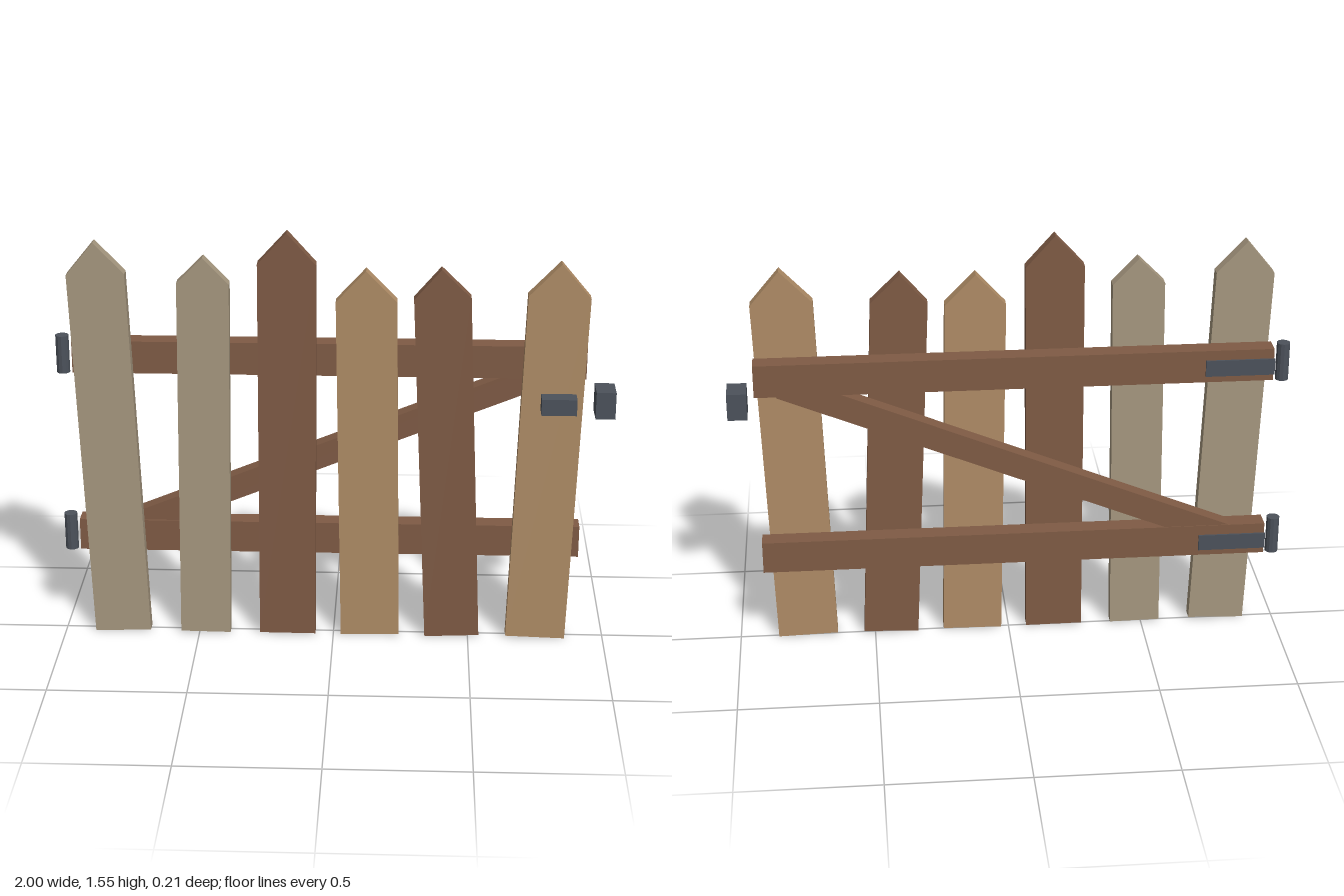
import * as THREE from 'three';

const material = (name, color) => {
  const m = new THREE.MeshStandardMaterial({ color, flatShading: true });
  m.name = name;
  return m;
};

export function createModel() {
  const gate = new THREE.Group();
  gate.name = 'gate';
  const grey = material('weathered wood', 0xa6977f);
  const brown = material('brown wood', 0x7f5b45);
  const tan = material('tan wood', 0xaf8c66);
  const iron = material('iron', 0x4c525b);

  const add = (name, geometry, mat, x, y, z, turn = 0) => {
    const mesh = new THREE.Mesh(geometry, mat);
    mesh.name = name;
    mesh.position.set(x, y, z);
    mesh.rotation.z = turn;
    gate.add(mesh);
    return mesh;
  };
  const box = (name, mat, w, h, d, x, y, z, turn) =>
    add(name, new THREE.BoxGeometry(w, h, d), mat, x, y, z, turn);

  // Pointed pickets: base x, width, shoulder height, tip height, lean, wood
  const pickets = [
    [-0.785, 0.206, 1.39, 1.507, 0.036, grey],
    [-0.476, 0.185, 1.36, 1.455, -0.013, grey],
    [-0.170, 0.207, 1.433, 1.548, -0.005, brown],
    [0.136, 0.216, 1.30, 1.414, 0.015, tan],
    [0.440, 0.201, 1.316, 1.423, 0.043, brown],
    [0.749, 0.219, 1.326, 1.448, -0.032, tan],
  ];
  for (const [x, w, shoulder, tip, lean, wood] of pickets) {
    const outline = new THREE.Shape([
      new THREE.Vector2(-w / 2, 0),
      new THREE.Vector2(w / 2, 0),
      new THREE.Vector2(w / 2, shoulder),
      new THREE.Vector2(0, tip),
      new THREE.Vector2(-w / 2, shoulder),
    ]);
    const board = new THREE.ExtrudeGeometry(outline, { depth: 0.045, bevelEnabled: false });
    add('picket', board, wood, x, 0.006, -0.011, lean);
  }

  // Two rails, each with a hinge pin and strap
  for (const y of [0.376, 1.073]) {
    box('rail', brown, 1.838, 0.12, 0.07, -0.019, y, -0.048);
    add('hingePin', new THREE.CylinderGeometry(0.024, 0.024, 0.14, 12), iron, -0.976, y, -0.049);
    box('hingeStrap', iron, 0.246, 0.06, 0.007, -0.815, y, -0.1);
  }

  // Diagonal brace between the rails
  box('brace', brown, 1.78, 0.09, 0.06, -0.02, 0.71, -0.05, 0.39);

  // Latch bar and its catch
  box('latchBar', iron, 0.125, 0.06, 0.06, 0.8, 0.947, 0.074);
  box('latchCatch', iron, 0.07, 0.1, 0.1, 0.965, 0.948, 0.034);

  return gate;
}
